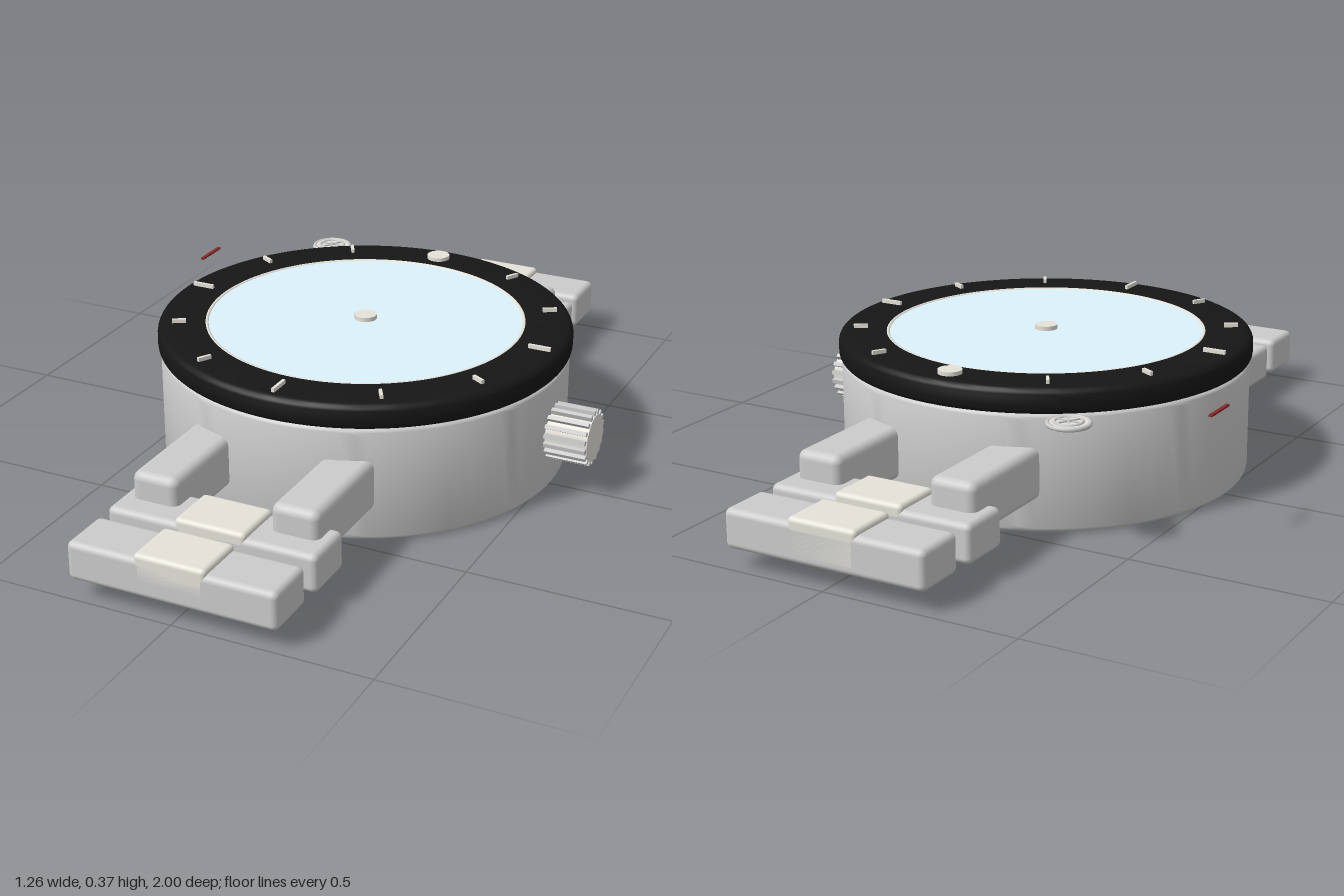
import * as THREE from 'three';
import { toCreasedNormals } from 'three/addons/utils/BufferGeometryUtils.js';
import { RoundedBoxGeometry } from 'three/addons/geometries/RoundedBoxGeometry.js';

const paint = (color) => new THREE.MeshStandardMaterial({ color });
const steel = paint(0xcccccc);
const pale = paint(0xe4e2d8);
const black = paint(0x161616);
const glass = paint(0xdcf2fb);
const red = paint(0x8b2a2a);

function add(parent, name, geometry, material, x = 0, y = 0, z = 0) {
  const mesh = new THREE.Mesh(geometry, material);
  mesh.name = name;
  mesh.position.set(x, y, z);
  parent.add(mesh);
  return mesh;
}

// Turned solid with rounded outer edges; inner > 0 makes a ring
function turned(inner, outer, y0, y1, fillet) {
  const pts = [new THREE.Vector2(inner, y0)];
  for (let i = 0; i <= 5; i++) {
    const a = -Math.PI / 2 + (i / 5) * (Math.PI / 2);
    pts.push(new THREE.Vector2(outer - fillet + fillet * Math.cos(a), y0 + fillet + fillet * Math.sin(a)));
  }
  for (let i = 0; i <= 5; i++) {
    const a = (i / 5) * (Math.PI / 2);
    pts.push(new THREE.Vector2(outer - fillet + fillet * Math.cos(a), y1 - fillet + fillet * Math.sin(a)));
  }
  pts.push(new THREE.Vector2(inner, y1));
  if (inner > 0) pts.push(new THREE.Vector2(inner, y0));
  return toCreasedNormals(new THREE.LatheGeometry(pts, 96), 0.6);
}

function flatRing(radius, tube, segments = 64) {
  return new THREE.TorusGeometry(radius, tube, 8, segments).rotateX(Math.PI / 2);
}

export function createModel() {
  const model = new THREE.Group();
  model.name = 'watch';

  // Case, bezel and crystal
  add(model, 'case', turned(0, 0.523, 0, 0.3, 0.018), steel);
  add(model, 'bezel', turned(0.408, 0.53, 0.295, 0.362, 0.022), black);
  add(model, 'crystalRim', flatRing(0.405, 0.006, 96), pale, 0, 0.357, 0);
  add(model, 'crystal', new THREE.CylinderGeometry(0.402, 0.402, 0.06, 96), glass, 0, 0.33, 0);
  add(model, 'centreCap', new THREE.CylinderGeometry(0.029, 0.029, 0.012, 32), pale, 0, 0.365, 0);

  // Hour marks, with a round pip at twelve
  const marks = new THREE.Group();
  marks.name = 'hourMarks';
  model.add(marks);
  for (let i = 1; i < 12; i++) {
    const major = i % 3 === 0;
    const a = (i / 12) * Math.PI * 2;
    const mark = add(marks, 'hourMark', new THREE.BoxGeometry(0.008, 0.012, major ? 0.058 : 0.036), pale,
      Math.sin(a) * 0.475, 0.366, -Math.cos(a) * 0.475);
    mark.rotation.y = -a;
  }
  add(marks, 'pip', new THREE.CylinderGeometry(0.03, 0.03, 0.012, 32), pale, 0, 0.366, -0.462);

  // Fluted winding crown
  const crown = new THREE.Group();
  crown.name = 'crown';
  crown.position.set(0.57, 0.153, 0);
  model.add(crown);
  add(crown, 'crownCore', new THREE.CylinderGeometry(0.06, 0.06, 0.12, 40).rotateZ(Math.PI / 2), pale);
  for (let i = 0; i < 18; i++) {
    const a = (i / 18) * Math.PI * 2;
    const ridge = add(crown, 'crownRidge', new THREE.BoxGeometry(0.108, 0.016, 0.011), steel,
      0.004, Math.cos(a) * 0.064, Math.sin(a) * 0.064);
    ridge.rotation.x = a;
  }

  // Lugs and bracelet links at both ends
  for (const s of [1, -1]) {
    for (const x of [-0.183, 0.183]) {
      add(model, 'lug', new RoundedBoxGeometry(0.122, 0.132, 0.335, 4, 0.022), steel, x, 0.15, s * 0.588);
    }
    [[0.75, 0.545], [0.93, 0.536]].forEach(([z, width]) => {
      add(model, 'link', new RoundedBoxGeometry(width, 0.098, 0.14, 4, 0.016), steel, 0, 0.098, s * z);
      add(model, 'linkCentre', new RoundedBoxGeometry(0.184, 0.1, 0.14, 4, 0.012), pale, 0, 0.11, s * z);
    });
  }

  // Small spoked dial beside the case
  const dial = new THREE.Group();
  dial.name = 'smallDial';
  dial.position.set(-0.36, 0.315, -0.53);
  model.add(dial);
  add(dial, 'smallDialPlate', new THREE.CylinderGeometry(0.05, 0.05, 0.008, 40), pale);
  add(dial, 'smallDialRim', flatRing(0.049, 0.006), steel);
  add(dial, 'smallDialInnerRing', flatRing(0.033, 0.004), steel, 0, 0.004, 0);
  add(dial, 'smallDialHub', new THREE.CylinderGeometry(0.008, 0.008, 0.014, 20), steel, 0, 0.002, 0);
  for (let i = 0; i < 3; i++) {
    const spoke = add(dial, 'smallDialSpoke', new THREE.BoxGeometry(0.064, 0.006, 0.005), steel, 0, 0.004, 0);
    spoke.rotation.y = (i * Math.PI) / 3;
  }

  // Loose thin red hand
  add(model, 'redHand', new THREE.BoxGeometry(0.009, 0.005, 0.096), red, -0.63, 0.325, -0.305);

  return model;
}
